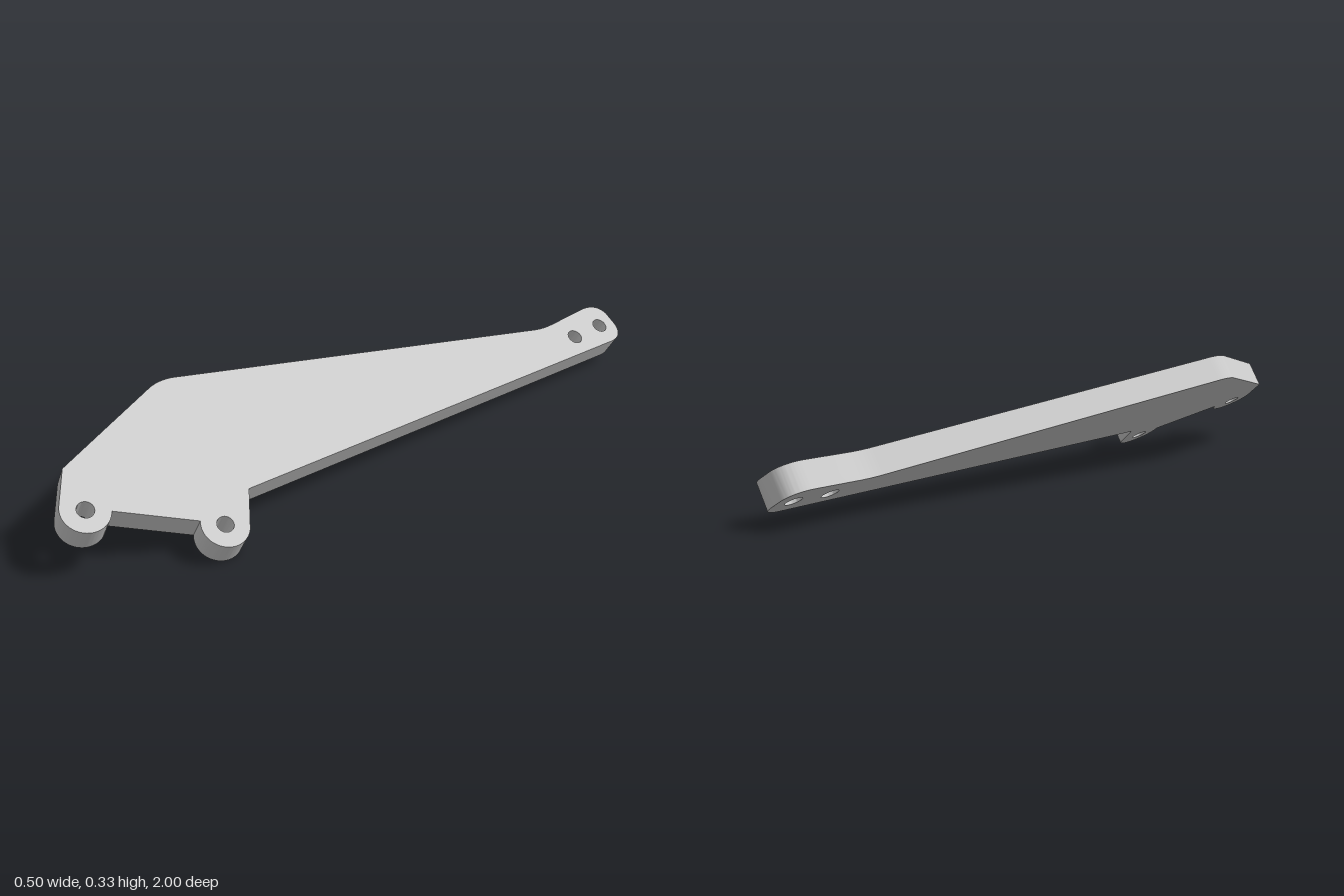
import * as THREE from 'three';
import { toCreasedNormals } from 'three/addons/utils/BufferGeometryUtils.js';

const TILT = Math.PI / 6;
const THICKNESS = 0.079;
const LUG_RADIUS = 0.068;
const HOLE_RADIUS = 0.024;

// plan position (x, z) to flat plate coordinates before tilting
const flat = (x, z) => [x / Math.cos(TILT), -z];
const rad = THREE.MathUtils.degToRad;

export function createModel() {
  const group = new THREE.Group();
  group.name = 'bracketArm';

  const shape = new THREE.Shape();
  const line = (x, z) => shape.lineTo(...flat(x, z));
  const round = (cx, cz, x, z) => shape.quadraticCurveTo(...flat(cx, cz), ...flat(x, z));
  const lug = (x, z, from, to) =>
    shape.absarc(...flat(x, z), LUG_RADIUS, rad(from), rad(to), true);

  // rounded tip at the back
  shape.moveTo(...flat(0.105, -1));
  line(0.145, -1);
  round(0.188, -0.995, 0.188, -0.94);
  // straight edge, then the two mounting lugs
  line(0.135, 0.5);
  lug(0.19, 0.62, 63, -124);
  lug(0.019, 0.932, 61, -124);
  // angled nose, rounded shoulder and long taper
  line(-0.095, 0.925);
  line(-0.204, 0.58);
  round(-0.217, 0.535, -0.204, 0.485);
  line(0.06, -0.69);
  round(0.07, -0.73, 0.068, -0.78);
  line(0.063, -0.93);
  round(0.064, -0.99, 0.105, -1);

  // bolt holes
  for (const [x, z] of [[0.13, -0.94], [0.13, -0.82], [0.19, 0.62], [0.019, 0.932]]) {
    const hole = new THREE.Path();
    hole.absarc(...flat(x, z), HOLE_RADIUS, 0, Math.PI * 2, false);
    shape.holes.push(hole);
  }

  // tilted plate, top face at the local origin
  const geometry = new THREE.ExtrudeGeometry(shape, {
    depth: THICKNESS, bevelEnabled: false, curveSegments: 20,
  });
  geometry.translate(0, 0, -THICKNESS);
  geometry.rotateX(-Math.PI / 2);
  geometry.rotateZ(-TILT);
  geometry.translate(0, 0.214, 0);

  const plate = new THREE.Mesh(
    toCreasedNormals(geometry, rad(25)),
    new THREE.MeshStandardMaterial({ color: 0xcccccc }),
  );
  plate.name = 'armPlate';
  group.add(plate);
  return group;
}
